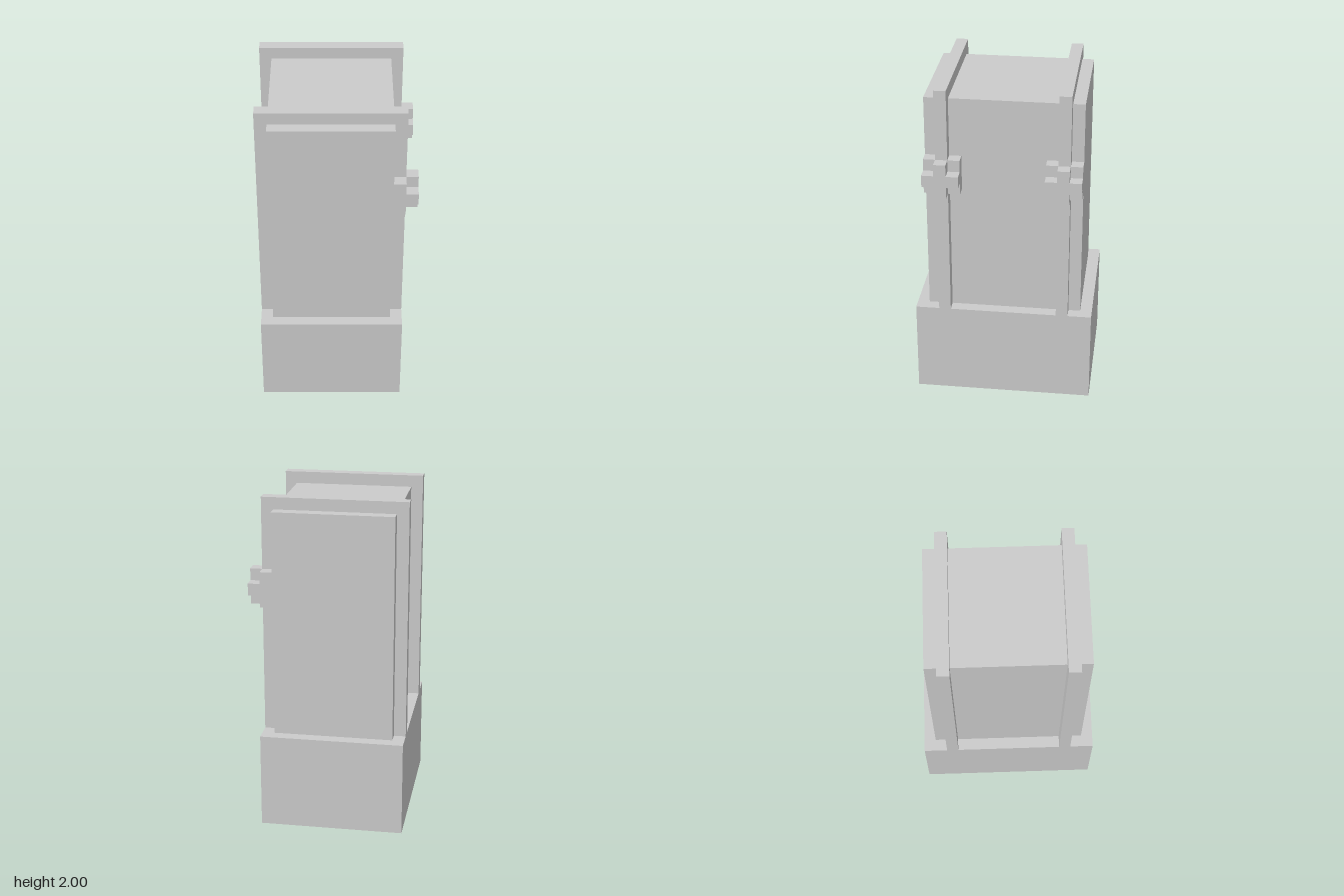
import * as THREE from 'three';

const U = 1 / 14; // one block; the model is 28 blocks tall
const material = new THREE.MeshStandardMaterial({ color: 0xcccccc, flatShading: true });

// Box given by its lower and upper corners, in blocks
function block(name, [x0, y0, z0], [x1, y1, z1]) {
  const geometry = new THREE.BoxGeometry((x1 - x0) * U, (y1 - y0) * U, (z1 - z0) * U);
  const mesh = new THREE.Mesh(geometry, material);
  mesh.name = name;
  mesh.position.set((x0 + x1) * U / 2, (y0 + y1) * U / 2, (z0 + z1) * U / 2);
  return mesh;
}

// Plus-shaped prism, three blocks across and one thick, facing +x
function crossGeometry() {
  const a = U / 2, b = U * 1.5;
  const outline = [
    [a, -b], [a, -a], [b, -a], [b, a], [a, a], [a, b],
    [-a, b], [-a, a], [-b, a], [-b, -a], [-a, -a], [-a, -b],
  ].map(([x, y]) => new THREE.Vector2(x, y));
  const geometry = new THREE.ExtrudeGeometry(new THREE.Shape(outline), { depth: U, bevelEnabled: false });
  return geometry.rotateY(Math.PI / 2);
}

export function createModel() {
  const model = new THREE.Group();
  model.name = 'pedestalCabinet';

  // Plinth and the main body standing on it
  model.add(block('base', [-6.5, 0, -7.5], [5.5, 8, 7.5]));
  model.add(block('body', [-5.5, 8, -6.5], [4.5, 27, 6.5]));

  const cross = crossGeometry();
  for (const [label, side] of [['front', 1], ['back', -1]]) {
    const z = side * 5;

    // Raised band wrapping the body
    model.add(block(label + 'Band', [-6.5, 8, z - 0.5], [5.5, 28, z + 0.5]));

    // Clasp: square plate with a raised cross
    const clasp = new THREE.Group();
    clasp.name = label + 'Clasp';
    clasp.add(block(label + 'ClaspPlate', [4.5, 19, z - 1.5], [5.5, 22, z + 1.5]));
    const boss = new THREE.Mesh(cross, material);
    boss.name = label + 'ClaspCross';
    boss.position.set(5.5 * U, 20.5 * U, z * U);
    clasp.add(boss);
    model.add(clasp);
  }
  return model;
}
